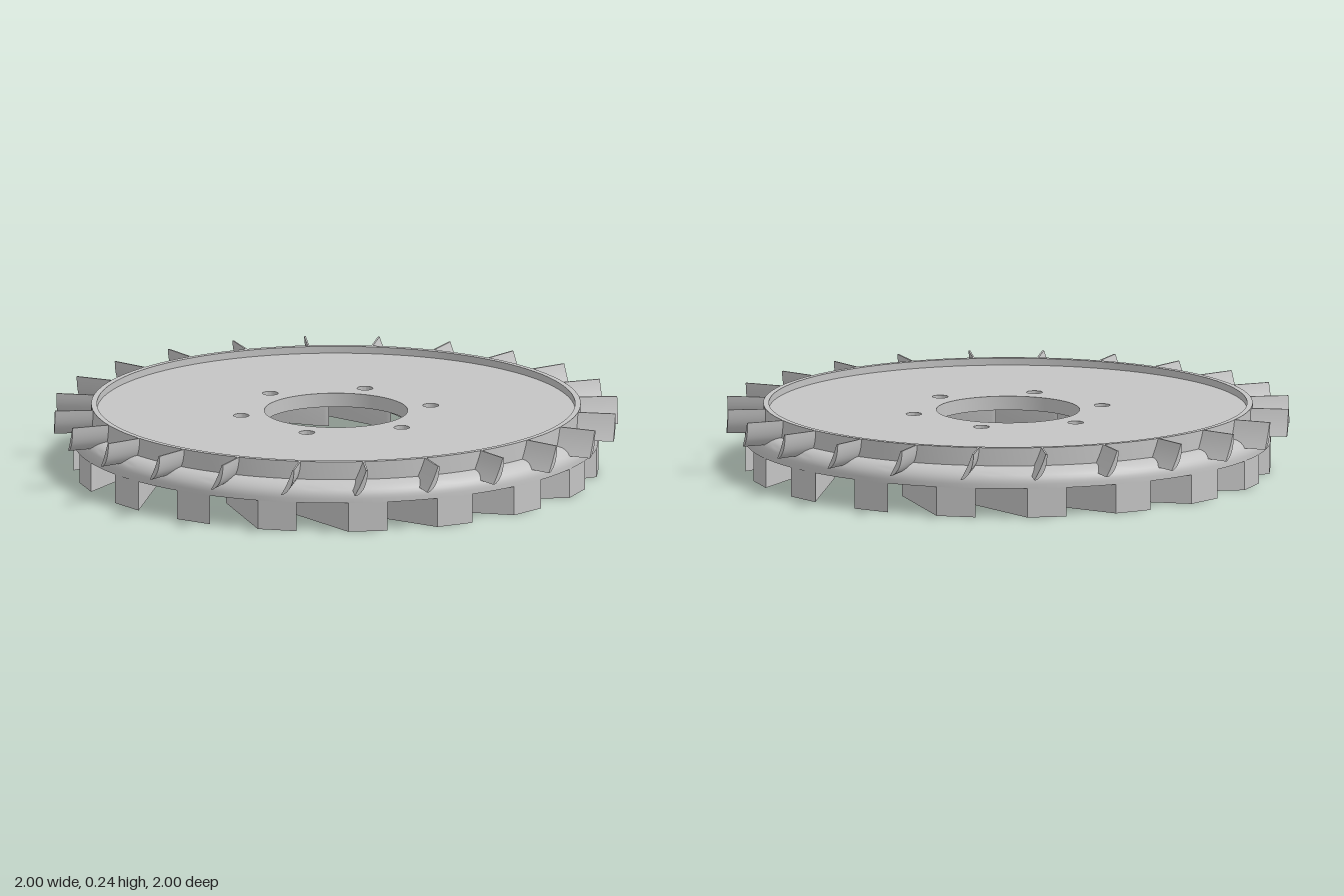
import * as THREE from 'three';
import { toCreasedNormals } from 'three/addons/utils/BufferGeometryUtils.js';

const steel = new THREE.MeshStandardMaterial({ color: 0xc4c4c4 });
steel.name = 'steel grey';
const DEG = Math.PI / 180;

function circleHole(x, y, r) {
  return new THREE.Path().absarc(x, y, r, 0, Math.PI * 2, true);
}

// Extrude a flat shape upward from y0 to y1 (shape y becomes -z)
function plate(shape, y0, y1, curveSegments = 24) {
  const g = new THREE.ExtrudeGeometry(shape, { depth: y1 - y0, bevelEnabled: false, curveSegments });
  g.rotateX(-Math.PI / 2);
  g.translate(0, y0, 0);
  return toCreasedNormals(g, 0.5);
}

function addMesh(parent, geometry, name) {
  const m = new THREE.Mesh(geometry, steel);
  m.name = name;
  parent.add(m);
  return m;
}

// Point in shape space at radius r, angle deg measured from the front towards +x
function polar(r, deg) {
  return new THREE.Vector2(r * Math.sin(deg * DEG), -r * Math.cos(deg * DEG));
}

export function createModel() {
  const model = new THREE.Group();
  model.name = 'bladedDisc';

  // Rim: recessed underside, rounded shoulder and raised lip
  const profile = [[0.635, 0.165], [0.635, 0.105], [0.935, 0.105], [0.935, 0.12]];
  for (let i = 1; i <= 8; i++) {
    const a = (i / 8) * Math.PI / 2;
    profile.push([0.87 + 0.065 * Math.cos(a), 0.12 + 0.055 * Math.sin(a)]);
  }
  profile.push([0.87, 0.24], [0.85, 0.24], [0.85, 0.215], [0.635, 0.215]);
  const rim = new THREE.LatheGeometry(profile.map(([x, y]) => new THREE.Vector2(x, y)), 120);
  addMesh(model, toCreasedNormals(rim, 0.5), 'rim');

  // Hub plate with centre bore and six bolt holes
  const hub = new THREE.Shape().absarc(0, 0, 0.636, 0, Math.PI * 2, false);
  hub.holes.push(circleHole(0, 0, 0.255));
  for (let i = 0; i < 6; i++) {
    const a = i * 60 * DEG;
    hub.holes.push(circleHole(0.345 * Math.cos(a), 0.345 * Math.sin(a), 0.028));
  }
  addMesh(model, plate(hub, 0.165, 0.215, 60), 'hubPlate');

  // Swept wedge vanes below, every third one with a blind hole
  function vaneGeometry(drilled) {
    const shape = new THREE.Shape([
      polar(0.934, -4.3), polar(0.934, 4.3), polar(0.638, -23.2), polar(0.638, -24.8),
    ]);
    if (drilled) {
      const c = polar(0.845, -4.2);
      shape.holes.push(circleHole(c.x, c.y, 0.02));
    }
    return plate(shape, 0, 0.105);
  }
  const plainVane = vaneGeometry(false);
  const drilledVane = vaneGeometry(true);
  const vanes = new THREE.Group();
  vanes.name = 'lowerVanes';
  model.add(vanes);
  for (let i = 0; i < 18; i++) {
    const vane = addMesh(vanes, i % 3 === 1 ? drilledVane : plainVane, 'lowerVane');
    vane.rotation.y = (14.4 + i * 20) * DEG;
  }

  // Leaf-section blades leaning around the rim
  const section = new THREE.Shape();
  section.moveTo(-0.023, 0.148);
  section.lineTo(-0.016, 0.148);
  section.quadraticCurveTo(0.022, 0.168, 0.024, 0.24);
  section.lineTo(0.018, 0.24);
  section.quadraticCurveTo(0.002, 0.19, -0.023, 0.148);
  const bladeGeo = new THREE.ExtrudeGeometry(section, { depth: 0.143, bevelEnabled: false, curveSegments: 8 });
  bladeGeo.translate(0, 0, 0.862);
  const blade = toCreasedNormals(bladeGeo, 0.5);
  const blades = new THREE.Group();
  blades.name = 'rimBlades';
  model.add(blades);
  for (let i = 0; i < 24; i++) {
    addMesh(blades, blade, 'rimBlade').rotation.y = (7.5 + i * 15) * DEG;
  }

  return model;
}
